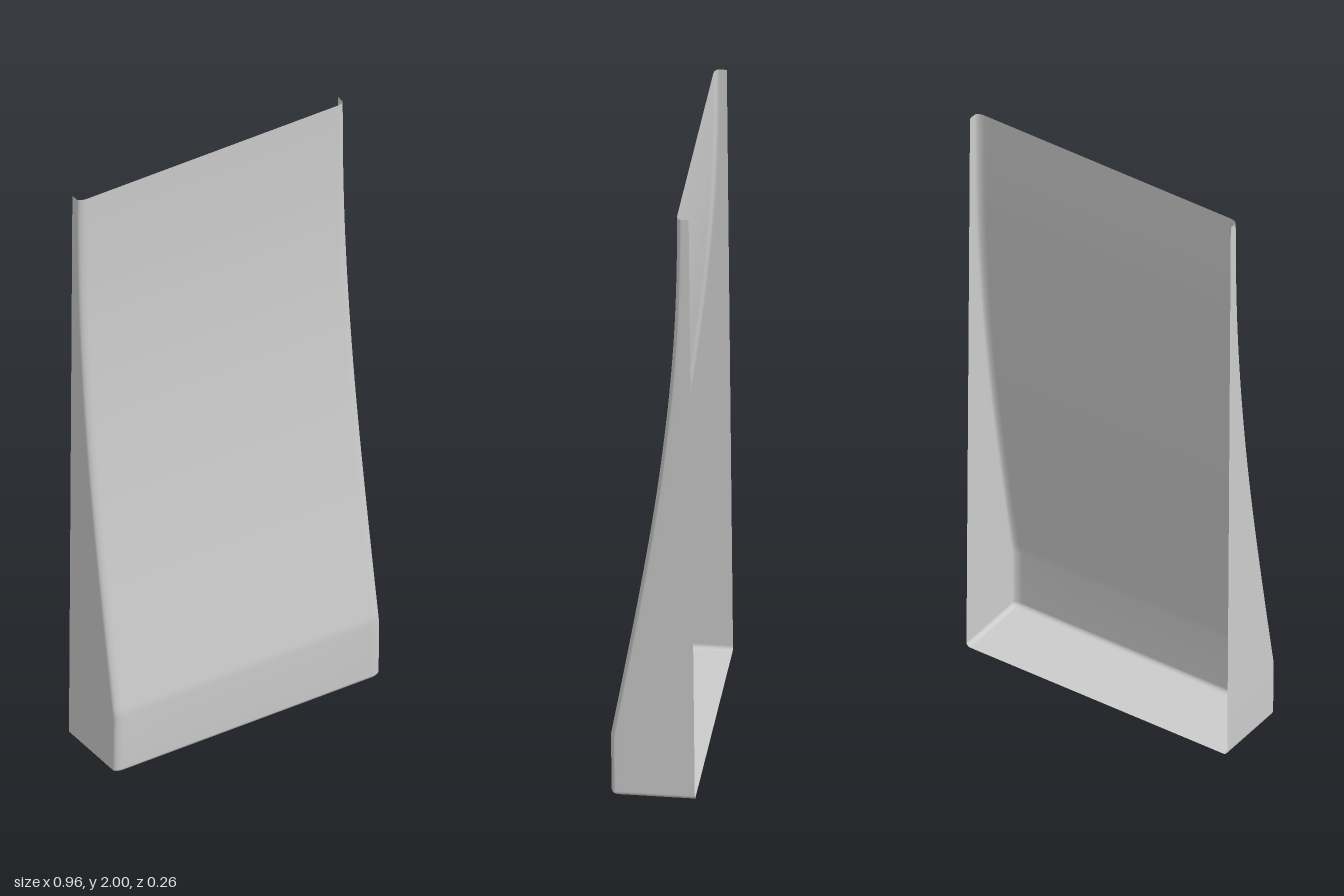
import * as THREE from 'three';

const HALF_WIDTH = 0.48;
const CORNER_X = 0.028, CORNER_Z = 0.014; // softened front corners
const BASE_ROUND = 0.014;                 // softened bottom edge

// Side outline of the curved front: [y, z]
const curve = new THREE.SplineCurve([
  [0.2, 0.13], [0.4, 0.094], [0.6, 0.059], [0.8, 0.026], [1.0, -0.004], [1.2, -0.029],
  [1.4, -0.049], [1.6, -0.063], [1.8, -0.07], [2.0, -0.072],
].map(([y, z]) => new THREE.Vector2(y, z)));

const backZ = (y) => THREE.MathUtils.lerp(-0.129, -0.11, y / 2);

// U-shaped cross-section, open at the back, running from right to left
function section(y, frontZ, inset = 0) {
  const w = HALF_WIDTH - inset, zf = frontZ - inset, zb = backZ(y);
  const half = [];
  for (let i = 0; i < 4; i++) half.push([w, THREE.MathUtils.lerp(zb, zf - CORNER_Z, i / 4)]);
  for (let i = 0; i <= 6; i++) {
    const a = (i / 6) * Math.PI / 2;
    half.push([w - CORNER_X * (1 - Math.cos(a)), zf - CORNER_Z * (1 - Math.sin(a))]);
  }
  for (const f of [0.97, 0.6, 0.2]) half.push([(w - CORNER_X) * f, zf]);
  const right = half.map(([x, z]) => [-x, y, z]);
  const left = half.map(([x, z]) => [x, y, z]).reverse();
  return [...right, ...left];
}

// Surface through a stack of cross-sections, bottom to top
function loft(rows) {
  const n = rows[0].length, index = [];
  for (let j = 0; j < rows.length - 1; j++) {
    for (let i = 0; i < n - 1; i++) {
      const a = j * n + i, b = a + 1, c = a + n, d = c + 1;
      index.push(a, b, d, a, d, c);
    }
  }
  const geometry = new THREE.BufferGeometry();
  geometry.setAttribute('position', new THREE.Float32BufferAttribute(rows.flat(2), 3));
  geometry.setIndex(index);
  geometry.computeVertexNormals();
  return geometry;
}

export function createModel() {
  const group = new THREE.Group();
  group.name = 'curvedPanel';
  const material = new THREE.MeshStandardMaterial({ color: 0xcccccc, side: THREE.DoubleSide });

  // Front panel with side walls, rounded under at the base
  const rows = [];
  for (let i = 0; i <= 4; i++) {
    const a = (i / 4) * Math.PI / 2;
    rows.push(section(BASE_ROUND * (1 - Math.sin(a)), 0.128, BASE_ROUND * (1 - Math.cos(a))));
  }
  rows.reverse();
  for (let i = 0; i <= 40; i++) {
    const p = curve.getPoint(i / 40);
    rows.push(section(p.x, p.y));
  }
  const shell = new THREE.Mesh(loft(rows), material);
  shell.name = 'shell';

  // Flat floor closing the bottom
  const edge = rows[0];
  const floorBack = edge.map(([x, y]) => [x, y, backZ(0)]);
  const floor = new THREE.Mesh(loft([floorBack, edge]), material);
  floor.name = 'floor';

  group.add(shell, floor);
  return group;
}
